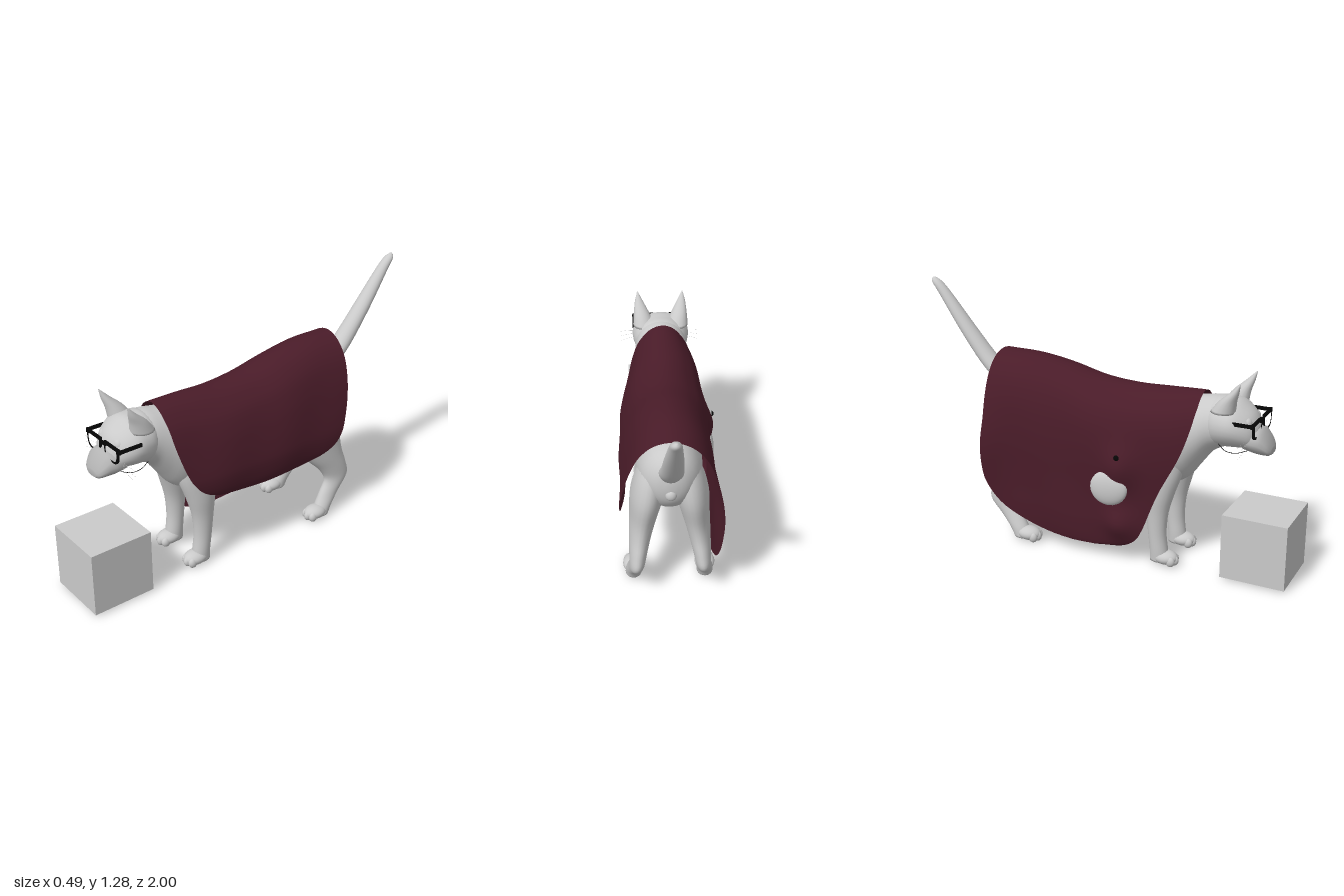
import * as THREE from 'three';

const mat = (name, color, side = THREE.FrontSide) => {
  const m = new THREE.MeshStandardMaterial({ color, side });
  m.name = name;
  return m;
};

// Catmull-Rom sample of a list of number rows, t in 0..1
function sample(rows, t) {
  const f = t * (rows.length - 1), i = Math.min(Math.floor(f), rows.length - 2), u = f - i;
  const r = k => rows[Math.max(0, Math.min(rows.length - 1, k))];
  const [a, b, c, d] = [r(i - 1), r(i), r(i + 1), r(i + 2)];
  return b.map((_, k) => 0.5 * (2 * b[k] + (c[k] - a[k]) * u
    + (2 * a[k] - 5 * b[k] + 4 * c[k] - d[k]) * u * u
    + (3 * b[k] - a[k] - 3 * c[k] + d[k]) * u * u * u));
}

function surface(points, index) {
  const g = new THREE.BufferGeometry();
  g.setAttribute('position', new THREE.Float32BufferAttribute(points, 3));
  g.setIndex(index);
  g.computeVertexNormals();
  return g;
}

// Elliptical rings [x, y, z, rx, r2]; axis 'z' runs towards +z, axis 'y' runs downwards
function loft(rings, axis, seg = 24, sub = 4) {
  const n = (rings.length - 1) * sub, p = [], idx = [];
  for (let i = 0; i <= n; i++) {
    const [x, y, z, a, b] = sample(rings, i / n);
    for (let j = 0; j < seg; j++) {
      const t = j / seg * Math.PI * 2, c = Math.cos(t) * a, s = Math.sin(t) * b;
      p.push(x + c, y + (axis === 'z' ? s : 0), z + (axis === 'y' ? s : 0));
    }
  }
  for (let i = 0; i < n; i++) for (let j = 0; j < seg; j++) {
    const a = i * seg + j, b = i * seg + (j + 1) % seg;
    idx.push(a, b, b + seg, a, b + seg, a + seg);
  }
  const c = p.length / 3, last = n * seg;
  p.push(...rings[0].slice(0, 3), ...rings[rings.length - 1].slice(0, 3));
  for (let j = 0; j < seg; j++) {
    const k = (j + 1) % seg;
    idx.push(c, k, j, c + 1, last + j, last + k);
  }
  return surface(p, idx);
}

// Draped cape: rows of [x, y, front z, back z] from one hem over the back to the other
function capeGeometry() {
  const rows = [
    [.212, .372, .05, -.06], [.22, .378, .16, -.19], [.232, .40, .29, -.33], [.24, .44, .38, -.42],
    [.243, .50, .435, -.465], [.235, .57, .465, -.49], [.218, .66, .49, -.515], [.192, .76, .51, -.535],
    [.15, .86, .52, -.55], [.085, .93, .525, -.56], [0, .957, .525, -.57], [-.085, .93, .525, -.575],
    [-.15, .86, .52, -.575], [-.188, .76, .505, -.575], [-.205, .64, .475, -.575], [-.21, .52, .43, -.585],
    [-.208, .40, .37, -.585], [-.207, .30, .33, -.565], [-.207, .20, .295, -.49], [-.203, .13, .255, -.37],
    [-.198, .087, .18, -.23], [-.193, .067, .07, -.08]];
  const sag = [[0], [.003], [.03], [.07], [.085], [.078], [.07]];
  const N = 84, M = 40, p = [], idx = [];
  const bump = (v, centre, width) => Math.exp(-(((v - centre) / width) ** 2));
  for (let i = 0; i <= N; i++) {
    const [x0, y0, zf, zb] = sample(rows, i / N);
    for (let j = 0; j <= M; j++) {
      const z = zb + (zf - zb) * j / M;
      const s = sample(sag, THREE.MathUtils.clamp((z + .55) / 1.075, 0, 1))[0];
      const y = y0 - s * THREE.MathUtils.clamp((y0 - .5) / .4, 0, 1);
      // front edge draws in towards the shoulders
      let x = x0 * (1 - (x0 < 0 ? .16 : .11) * Math.max(0, z / .5) ** 2 - .06 * (j / M) ** 8);
      // elbow and hem bulges, rear flare and gentle folds
      if (x0 < 0) x -= bump(z, .18, .08) * (.04 * bump(y, .5, .11) + .036 * bump(y, .21, .08))
        + .03 * bump(z, -.58, .12) * bump(y, .5, .25);
      x += .003 * Math.sin(z * 17 + y * 6) * Math.min(1, Math.abs(x0) / .2);
      p.push(x, y, z);
    }
  }
  for (let i = 0; i < N; i++) for (let j = 0; j < M; j++) {
    const a = i * (M + 1) + j, b = a + M + 1;
    idx.push(a, b, b + 1, a, b + 1, a + 1);
  }
  return surface(p, idx);
}

export function createModel() {
  const fur = mat('light grey fur', 0xcacaca);
  const maskGrey = mat('mask grey', 0xb4b4b4);
  const maroon = mat('maroon cloth', 0x4a1c29, THREE.DoubleSide);
  const black = mat('black frame', 0x060606);
  const model = new THREE.Group();
  const cat = new THREE.Group();
  cat.name = 'cat';
  cat.position.x = .008;
  model.add(cat);

  const add = (name, geo, m, parent = cat, pos = [0, 0, 0], scale = [1, 1, 1]) => {
    const o = new THREE.Mesh(geo, m);
    o.name = name;
    o.position.set(...pos);
    o.scale.set(...scale);
    parent.add(o);
    return o;
  };
  const ball = new THREE.SphereGeometry(1, 24, 16);
  const tube = (pts, r) => new THREE.TubeGeometry(
    new THREE.CatmullRomCurve3(pts.map(q => new THREE.Vector3(...q))), 14, r, 5);

  // Torso and neck
  add('body', loft([
    [0, .70, -.575, .02, .03], [0, .70, -.55, .085, .11], [0, .685, -.46, .145, .18], [0, .665, -.25, .16, .2],
    [0, .645, 0, .16, .21], [0, .635, .2, .168, .225], [0, .62, .35, .172, .225], [0, .642, .45, .162, .208],
    [0, .692, .52, .146, .17], [0, .735, .58, .134, .137], [0, .752, .65, .13, .115]], 'z', 32), fur);

  // Head
  add('head', loft([
    [0, .752, .54, .09, .09], [0, .753, .59, .132, .119], [0, .755, .64, .147, .119], [0, .755, .69, .149, .115],
    [0, .742, .735, .13, .1], [0, .722, .775, .095, .082], [0, .70, .80, .05, .05]], 'z', 28), fur);

  // Tail
  add('tail', loft([
    [0, 1.277, -.988, .006, .007], [0, 1.255, -.972, .023, .027], [0, 1.2, -.925, .03, .034],
    [0, 1.05, -.81, .043, .045], [0, .92, -.705, .05, .054], [0, .84, -.63, .055, .06],
    [0, .77, -.55, .055, .065], [0, .7, -.49, .04, .05]], 'y', 20), fur);
  add('rearTuft', ball, fur, cat, [0, .655, -.565], [.027, .03, .022]);

  // Legs, paws, ears, eyes and whiskers on both sides
  for (const s of [1, -1]) {
    const side = s > 0 ? 'left' : 'right';
    const flip = rings => rings.map(([x, ...rest]) => [x * s, ...rest]);
    add(side + 'FrontLeg', loft(flip([
      [.09, .72, .35, .045, .06], [.093, .62, .35, .075, .1], [.095, .5, .352, .08, .106],
      [.11, .38, .345, .066, .078], [.116, .27, .338, .05, .056], [.116, .16, .34, .044, .046],
      [.115, .07, .35, .043, .046], [.115, .015, .355, .04, .05]]), 'y'), fur);
    add(side + 'HindLeg', loft(flip([
      [.06, .82, -.43, .03, .05], [.085, .70, -.435, .068, .105], [.105, .57, -.42, .08, .145],
      [.125, .43, -.4, .068, .148], [.14, .34, -.435, .056, .118], [.152, .26, -.485, .045, .09],
      [.16, .19, -.507, .038, .076], [.168, .12, -.455, .037, .062], [.175, .06, -.41, .04, .052],
      [.178, .012, -.385, .04, .05]]), 'y'), fur);
    for (const [name, px, pz] of [['FrontPaw', .115, .385], ['HindPaw', .18, -.35]]) {
      add(side + name, ball, fur, cat, [s * px, .036, pz], [.05, .036, .064]);
      for (const k of [-1, 0, 1])
        add(side + name + 'Toe', ball, fur, cat, [s * px + k * .026, .027, pz + .046 - Math.abs(k) * .01], [.019, .027, .024]);
    }
    add(side + 'Ear', loft(flip([
      [.119, .975, .732, .002, .002], [.112, .93, .705, .022, .021], [.1, .88, .67, .041, .042],
      [.088, .825, .645, .058, .06]]), 'y', 16), fur);
    add(side + 'Eye', ball, fur, cat, [s * .06, .775, .75], [.031, .031, .028]);
    for (const k of [-1, 0, 1])
      add(side + 'Whisker', tube([[s * .09, .69 + k * .012, .76], [s * .15, .69 + k * .022, .77],
        [s * .215, .68 + k * .03, .765]], .0004), fur);
    // Mask ear loop
    add(side + 'MaskStrap', tube([[s * .09, .655, .77], [s * .108, .64, .72], [s * .112, .645, .67],
      [s * .125, .68, .64]], .0014), black);
  }

  // Face mask with a slanted front
  add('mask', loft([
    [.006, .69, .735, .098, .054], [.004, .687, .78, .1, .062], [0, .683, .812, .093, .063],
    [0, .668, .838, .08, .049], [0, .652, .857, .062, .031], [0, .643, .867, .035, .014]], 'z', 14, 3), maskGrey);

  // Glasses
  const glasses = new THREE.Group();
  glasses.name = 'glasses';
  glasses.position.set(.008, .757, .797);
  cat.add(glasses);
  const lensPath = (P, w, h, top) => {
    const p = new P();
    p.moveTo(-w, top);
    p.lineTo(w, top);
    p.bezierCurveTo(w, -h * .9, w * .8, -h, 0, -h);
    p.bezierCurveTo(-w * .8, -h, -w, -h * .9, -w, top);
    return p;
  };
  const rim = lensPath(THREE.Shape, .057, .044, .042);
  rim.holes.push(lensPath(THREE.Path, .045, .033, .027));
  const rimGeo = new THREE.ExtrudeGeometry(rim, { depth: .01, bevelEnabled: false, curveSegments: 10 });
  for (const s of [1, -1]) {
    add('rim', rimGeo, black, glasses, [s * .072, 0, 0]);
    add('hinge', new THREE.BoxGeometry(.018, .022, .01), black, glasses, [s * .131, .03, .003]);
    add('temple', new THREE.BoxGeometry(.008, .017, .115), black, glasses, [s * .137, .03, -.055]);
  }
  add('bridge', new THREE.BoxGeometry(.045, .014, .01), black, glasses, [0, .022, .005]);

  // Cape with the elbow showing through on the outside and a small button
  add('cape', capeGeometry(), maroon, model);
  const dome = new THREE.SphereGeometry(1, 24, 10, 0, Math.PI * 2, 0, Math.PI / 2).rotateZ(Math.PI / 2);
  const patch = add('elbowPatch', dome, fur, model, [-.212, .395, .125], [.034, .09, .1]);
  patch.rotation.x = -.3;
  add('capeButton', dome, black, model, [-.234, .566, .175], [.012, .014, .014]);

  // Block in front
  add('block', new THREE.BoxGeometry(.324, .324, .32), fur, model, [.022, .173, .84]);
  return model;
}
